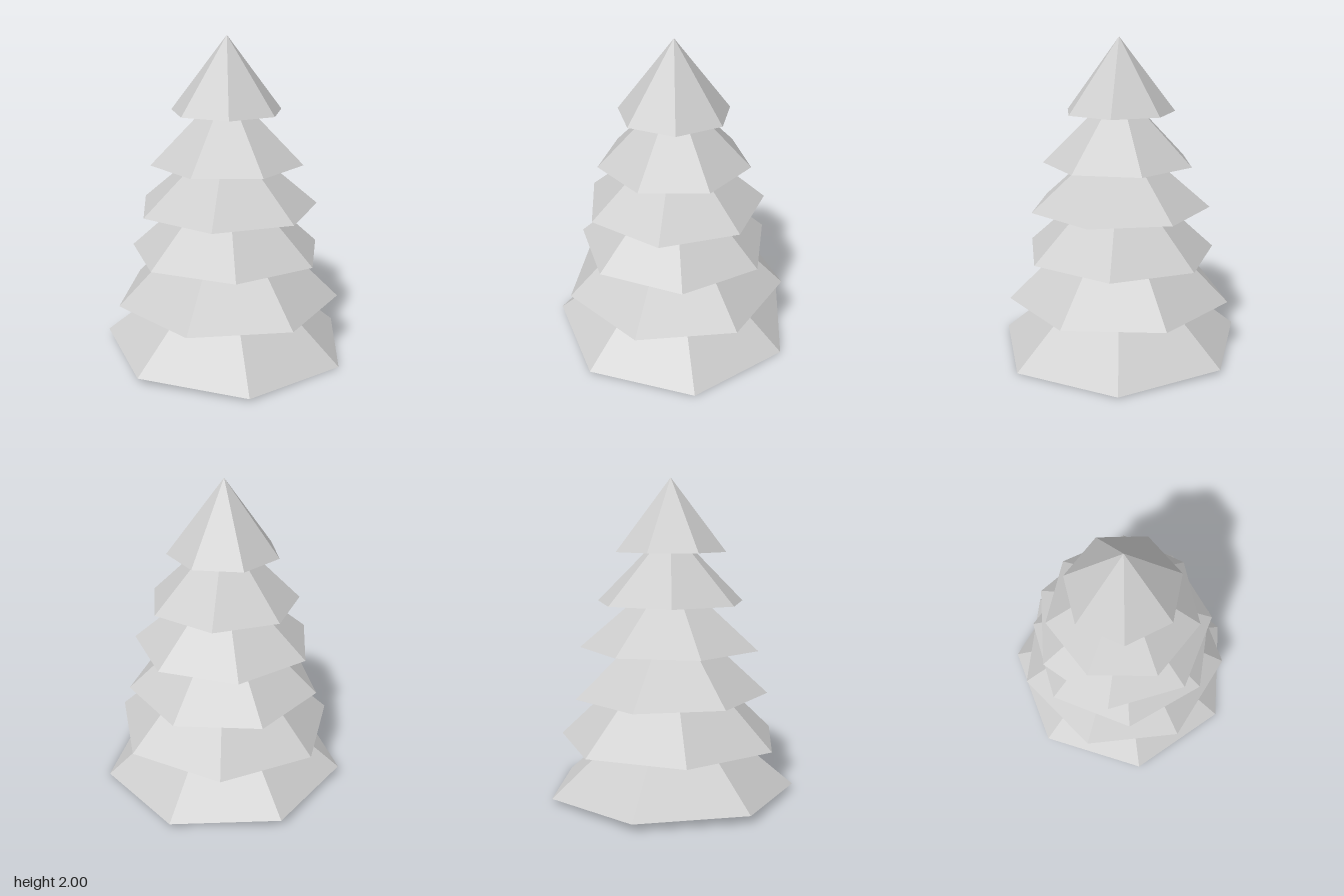
import * as THREE from 'three';

// Each tier: rim radius, rim height, tip height, heading of one rim corner
// (degrees from +x towards +z), and the slope of the rim along x and z
const TIERS = [
  { r: 0.795, base: 0.025, tip: 0.69, turn: -90, slopeX: -0.032, slopeZ: 0 },
  { r: 0.718, base: 0.345, tip: 1.03, turn: -10.3, slopeX: 0, slopeZ: 0 },
  { r: 0.622, base: 0.64, tip: 1.21, turn: -85.4, slopeX: 0, slopeZ: 0.018 },
  { r: 0.578, base: 0.938, tip: 1.43, turn: -72, slopeX: 0, slopeZ: 0 },
  { r: 0.482, base: 1.222, tip: 1.7, turn: -3.7, slopeX: 0, slopeZ: 0 },
  { r: 0.353, base: 1.54, tip: 2, turn: -82.5, slopeX: 0, slopeZ: 0 },
];

// Seven-sided closed cone whose rim is tipped while its point stays put
function tierGeometry({ r, base, tip, turn, slopeX, slopeZ }) {
  const h = tip - base;
  const start = THREE.MathUtils.degToRad(90 - turn);
  const geometry = new THREE.ConeGeometry(r, h, 7, 1, false, start);
  geometry.translate(0, h / 2, 0);
  const p = geometry.attributes.position;
  for (let i = 0; i < p.count; i++) {
    p.setY(i, p.getY(i) + slopeX * p.getX(i) + slopeZ * p.getZ(i));
  }
  geometry.computeVertexNormals();
  return geometry;
}

export function createModel() {
  const tree = new THREE.Group();
  tree.name = 'pineTree';
  const material = new THREE.MeshStandardMaterial({ color: 0xcccccc, flatShading: true });

  // Foliage tiers, from the ground up
  TIERS.forEach((tier, i) => {
    const mesh = new THREE.Mesh(tierGeometry(tier), material);
    mesh.name = `foliageTier${i + 1}`;
    mesh.position.set(0, tier.base, 0.035);
    tree.add(mesh);
  });
  return tree;
}
